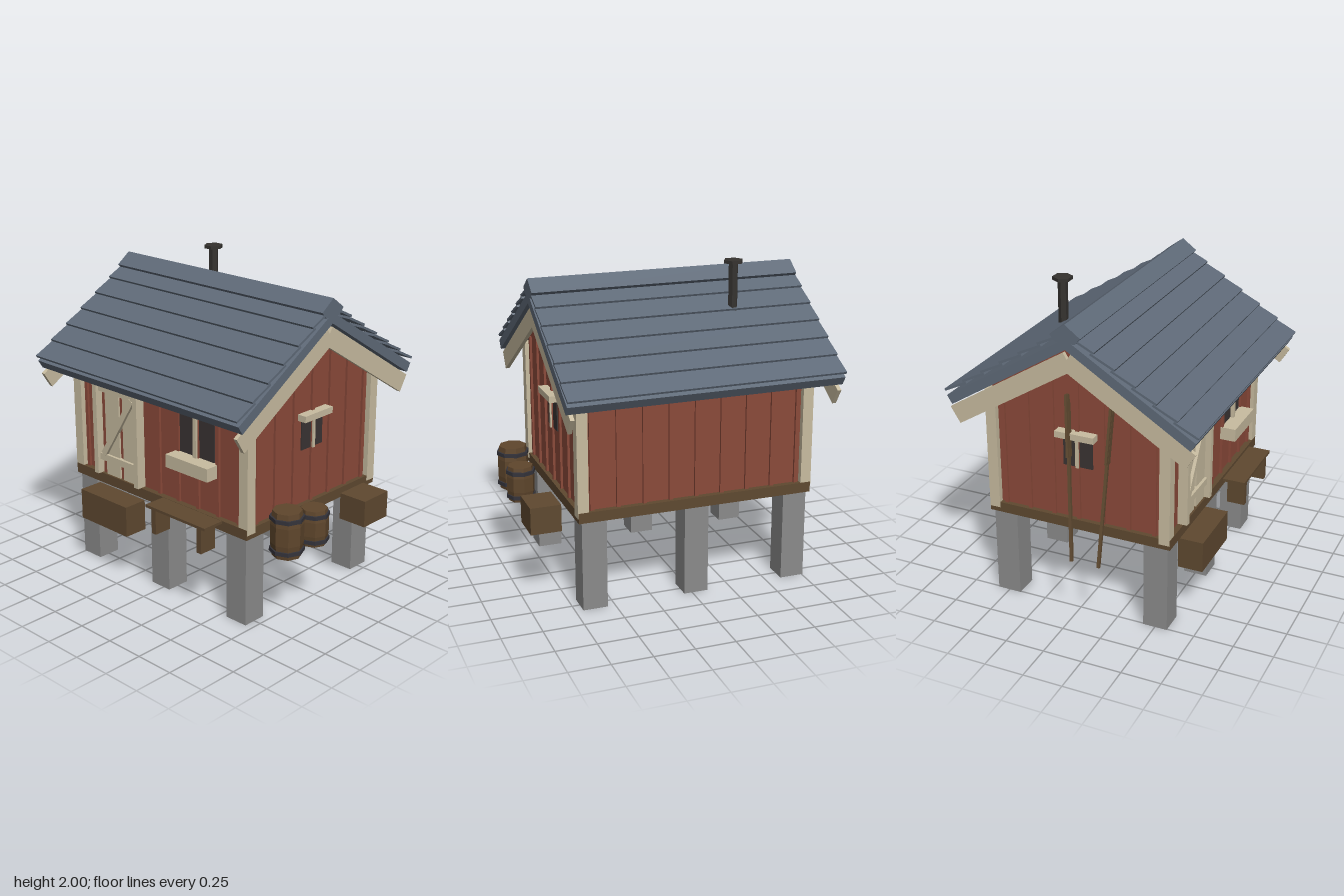
import * as THREE from 'three';

const mat = (name, color, extra = {}) => {
  const m = new THREE.MeshStandardMaterial({ color, ...extra });
  m.name = name;
  return m;
};

export function createModel() {
  const model = new THREE.Group();
  model.name = 'stiltCabin';
  const red = mat('redPaint', 0x8b4a3a);
  const cream = mat('creamTrim', 0xc8bca0);
  const slate = mat('slateRoof', 0x5f6a78);
  const brown = mat('brownWood', 0x5f4930);
  const stone = mat('greyStone', 0x8b8b8b);
  const glass = mat('darkGlass', 0x3a3433);
  const iron = mat('darkIron', 0x35322f);
  const hoopIron = mat('hoopIron', 0x34333a);
  iron.flatShading = hoopIron.flatShading = true;
  const stave = mat('barrelWood', 0x5f462c);
  stave.flatShading = true;

  const C = -0.025;            // centre of the house along x
  const add = (name, geo, m) => {
    const mesh = new THREE.Mesh(geo, m);
    mesh.name = name;
    model.add(mesh);
    return mesh;
  };
  // box given by its extents
  const box = (name, m, x0, x1, y0, y1, z0, z1) => {
    const b = add(name, new THREE.BoxGeometry(x1 - x0, y1 - y0, z1 - z0), m);
    b.position.set((x0 + x1) / 2, (y0 + y1) / 2, (z0 + z1) / 2);
    return b;
  };
  // symmetric (z, y) profile extruded along x
  const prism = (name, m, half, pts) => {
    const mirrored = pts.filter(p => p[0] > 0).map(([z, y]) => [-z, y]);
    const top = pts[0], low = pts[pts.length - 1];
    const ring = [...pts, ...(low[0] > 0 ? mirrored.reverse() : mirrored.reverse())];
    const shape = new THREE.Shape(ring.map(([z, y]) => new THREE.Vector2(z, y)));
    const geo = new THREE.ExtrudeGeometry(shape, { depth: half * 2, bevelEnabled: false });
    geo.translate(0, 0, -half).rotateY(Math.PI / 2);
    add(name, geo, m).position.x = C;
    return top;
  };

  // stilts and floor
  for (const x of [-0.68, C, 0.625])
    for (const z of [-0.5, 0.5])
      box('stilt', stone, x - 0.077, x + 0.077, 0, 0.572, z - 0.077, z + 0.077);
  box('floor', brown, C - 0.75, C + 0.75, 0.57, 0.635, -0.597, 0.597);

  // walls, battens and corner posts
  const WX = 0.72, WZ = 0.56;
  prism('walls', red, WX, [[0, 1.76], [WZ, 1.415], [WZ, 0.6]]);
  for (const s of [-1, 1]) {
    for (let i = -4; i <= 4; i++) {
      const x = C + i * 0.165;
      box('wallBatten', red, x - 0.012, x + 0.012, 0.63, 1.4, s * WZ - 0.015, s * WZ + 0.015);
    }
    for (let i = -3; i <= 3; i++) {
      const z = i * 0.163, x = C + s * WX;
      box('gableBatten', red, x - 0.015, x + 0.015, 0.63, 1.75 - 0.63 * (Math.abs(z) + 0.012), z - 0.012, z + 0.012);
    }
    for (const t of [-1, 1]) {
      const x = C + s * 0.72, z = t * 0.561;
      box('cornerPost', cream, x - 0.034, x + 0.034, 0.6, 1.385, z - 0.034, z + 0.034);
    }
  }

  // roof slab and ridge cap
  const RX = 0.86, A = Math.atan(0.622);
  for (const s of [-1, 1]) {
    const slope = new THREE.Shape([[0, 1.77], [0.755, 1.3], [0.787, 1.352], [0, 1.835]]
      .map(([z, y]) => new THREE.Vector2(-s * z, y)));
    const geo = new THREE.ExtrudeGeometry(slope, { depth: RX * 2, bevelEnabled: false });
    geo.translate(0, 0, -RX).rotateY(Math.PI / 2);
    add('roofSlab', geo, slate).position.x = C;

    // overlapping shingle rows
    const tilt = 0.455, len = 0.165;
    for (let i = 0; i < 6; i++) {
      const row = add('shingleRow', new THREE.BoxGeometry(RX * 2, 0.014, len), slate);
      const z = 0.8 - i * 0.125 - Math.cos(tilt) * len / 2;
      row.position.set(C, 1.383 + i * 0.079 + Math.sin(tilt) * len / 2, s * z);
      row.rotation.x = s * tilt;
    }
    // barge boards on both gables
    for (const t of [-1, 1]) {
      const board = add('bargeBoard', new THREE.BoxGeometry(0.025, 0.115, 0.89), cream);
      board.position.set(C + t * 0.828, 1.458, s * 0.371);
      board.rotation.x = s * A;
    }
  }
  prism('ridgeCap', slate, RX, [[0, 1.92], [0.095, 1.85], [0.06, 1.81]]);

  // door with frame, ledges and brace
  for (const x of [-0.553, -0.184]) box('doorFrame', cream, x - 0.018, x + 0.018, 0.635, 1.36, 0.55, 0.622);
  box('doorHeader', cream, -0.571, -0.166, 1.33, 1.37, 0.55, 0.615);
  for (const [a, b] of [[-0.495, -0.368], [-0.335, -0.2]]) box('doorPlank', cream, a, b, 0.635, 1.33, 0.55, 0.585);
  for (const y of [0.752, 1.213]) box('doorLedge', cream, -0.535, -0.202, y - 0.022, y + 0.022, 0.55, 0.603);
  const brace = add('doorBrace', new THREE.BoxGeometry(0.04, 0.5, 0.03), cream);
  brace.position.set(-0.368, 0.982, 0.59);
  brace.rotation.z = -Math.atan2(0.27, 0.42);

  // front window with flower box
  box('frontGlass', glass, 0.155, 0.437, 0.965, 1.236, WZ, WZ + 0.007);
  box('frontMullion', cream, 0.284, 0.311, 0.965, 1.236, WZ, 0.59);
  box('frontLintel', cream, 0.125, 0.47, 1.235, 1.278, WZ - 0.01, 0.61);
  box('flowerBox', cream, 0.125, 0.47, 0.88, 0.963, WZ - 0.01, 0.66);

  // gable windows
  for (const s of [-1, 1]) {
    const x = C + s * WX;
    const out = (name, m, d, y0, y1, z) => box(name, m, Math.min(x, x + s * d), Math.max(x, x + s * d), y0, y1, -z, z);
    out('gableGlass', glass, 0.007, 0.98, 1.18, 0.095);
    out('gableMullion', cream, 0.025, 0.98, 1.18, 0.01);
    out('gableLintel', cream, 0.06, 1.175, 1.215, 0.125);
  }

  // stove pipe with hexagonal cap
  const hex = (name, r, y0, y1) => {
    const pipe = add(name, new THREE.CylinderGeometry(r, r, y1 - y0, 6).rotateY(Math.PI / 6), iron);
    pipe.position.set(-0.373, (y0 + y1) / 2, -0.27);
  };
  hex('stovePipe', 0.03, 1.58, 1.985);
  hex('pipeCap', 0.061, 1.98, 2);

  // barrels: bulging eight-sided staves with two hoops
  const barrel = (x, z, r, h) => {
    const g = new THREE.Group();
    g.name = 'barrel';
    const pts = [[0, 0], [0.84, 0], [0.95, 0.3], [0.95, 0.7], [0.84, 1], [0, 1]];
    const body = new THREE.Mesh(new THREE.LatheGeometry(pts.map(([a, b]) => new THREE.Vector2(a * r, b * h)), 8), stave);
    body.name = 'barrelBody';
    g.add(body);
    for (const t of [0.14, 0.84]) {
      const hoop = new THREE.Mesh(new THREE.CylinderGeometry(r, r, 0.024, 8), hoopIron);
      hoop.name = 'barrelHoop';
      hoop.position.y = t * h;
      g.add(hoop);
    }
    g.position.set(x, 0.465, z);
    model.add(g);
  };
  barrel(0.865, 0.403, 0.105, 0.285);
  barrel(0.875, 0.172, 0.094, 0.228);

  // bench and crates
  box('benchSeat', brown, 0.05, 0.545, 0.628, 0.645, 0.615, 0.76);
  for (const x of [0.107, 0.488]) box('benchLeg', brown, x - 0.018, x + 0.018, 0.465, 0.63, 0.633, 0.75);
  box('frontCrate', brown, -0.583, -0.163, 0.348, 0.546, 0.572, 0.73);
  box('sideCrate', brown, 0.78, 0.97, 0.465, 0.635, -0.422, -0.195);

  // two oars leaning on the left-hand gable wall
  const oar = (z0, z1) => {
    const a = new THREE.Vector3(-0.963, 0.468, z0), b = new THREE.Vector3(-0.755, 1.44, z1);
    const g = new THREE.Group();
    g.name = 'oar';
    const L = a.distanceTo(b);
    const part = (name, w, d, from, to) => {
      const m = new THREE.Mesh(new THREE.BoxGeometry(w, to - from, d), brown);
      m.name = name;
      m.position.y = (from + to) / 2;
      g.add(m);
    };
    part('oarShaft', 0.018, 0.018, 0, L);
    part('oarBlade', 0.05, 0.015, 0.63, L);
    g.position.copy(a);
    g.quaternion.setFromUnitVectors(new THREE.Vector3(0, 1, 0), b.sub(a).normalize());
    model.add(g);
  };
  oar(0.052, -0.06);
  oar(0.226, 0.226);

  return model;
}
